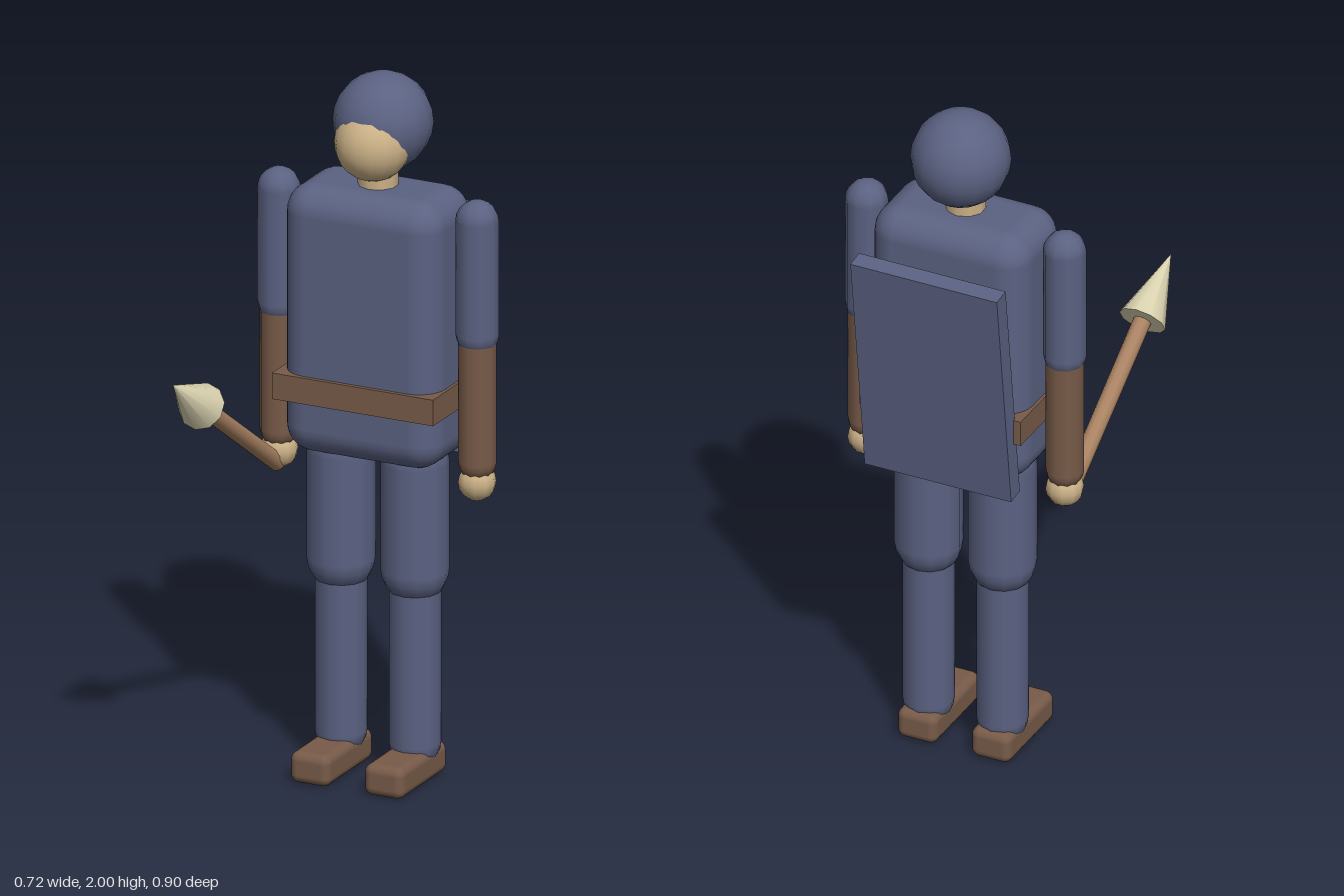
import * as THREE from 'three';
import { RoundedBoxGeometry } from 'three/addons/geometries/RoundedBoxGeometry.js';

const paint = (name, color) => {
  const m = new THREE.MeshStandardMaterial({ color });
  m.name = name;
  return m;
};

export function createModel() {
  const cloth = paint('blue cloth', 0x5b6282);
  const leather = paint('brown leather', 0x785b49);
  const skin = paint('skin', 0xcbb187);
  const wood = paint('wood', 0xa98262);
  const bone = paint('pale spearhead', 0xdad3b0);

  const model = new THREE.Group();
  const Z = -0.193; // depth of the body's centre line

  const add = (name, geometry, material, x, y, z, parent = model) => {
    const mesh = new THREE.Mesh(geometry, material);
    mesh.name = name;
    mesh.position.set(x, y, z);
    parent.add(mesh);
    return mesh;
  };
  // upright capsule given its lowest and highest points
  const limb = (name, r, low, high, sides, material, x, parent) => {
    const g = new THREE.CapsuleGeometry(r, high - low - 2 * r, 5, sides).rotateY(Math.PI / 2);
    return add(name, g, material, x, (low + high) / 2, Z, parent);
  };

  // trunk
  add('torso', new RoundedBoxGeometry(0.47, 0.77, 0.285, 4, 0.08), cloth, 0, 1.305, Z);
  add('belt', new THREE.BoxGeometry(0.488, 0.075, 0.31), leather, 0, 1.117, Z);

  // head
  add('neck', new THREE.CylinderGeometry(0.056, 0.056, 0.12, 10), skin, 0, 1.71, Z);
  add('face', new THREE.SphereGeometry(0.106, 16, 12), skin, 0, 1.817, -0.162);
  add('hood', new THREE.SphereGeometry(0.138, 16, 12), cloth, 0, 1.862, -0.223);

  // arms and legs, mirrored
  for (const side of [1, -1]) {
    const label = side > 0 ? 'left' : 'right';
    const arm = new THREE.Group();
    arm.name = label + 'Arm';
    limb('upperArm', 0.06, 1.245, 1.69, 10, cloth, side * 0.3, arm);
    limb('forearm', 0.053, 0.885, 1.33, 10, leather, side * 0.3, arm);
    add('hand', new THREE.SphereGeometry(0.053, 10, 8), skin, side * 0.3, 0.88, Z, arm);

    const leg = new THREE.Group();
    leg.name = label + 'Leg';
    const x = side * 0.112;
    limb('thigh', 0.094, 0.505, 1.0, 12, cloth, x, leg);
    limb('shin', 0.071, 0.03, 0.62, 12, cloth, x, leg);
    add('foot', new RoundedBoxGeometry(0.12, 0.09, 0.285, 3, 0.025), leather, x, 0.045, -0.134, leg);
    model.add(arm, leg);
  }

  // slanted slab carried on the back
  const slab = add('backPanel', new THREE.BoxGeometry(0.444, 0.687, 0.053), cloth, 0, 1.246, -0.378);
  slab.rotation.x = -0.126;

  // spear in the right hand, built along +y and tipped forward
  const spear = new THREE.Group();
  spear.name = 'spear';
  add('shaft', new THREE.CylinderGeometry(0.025, 0.025, 0.56, 10), wood, 0, 0.28, 0, spear);
  add('spearhead', new THREE.ConeGeometry(0.067, 0.21, 10), bone, 0, 0.655, 0, spear);
  spear.position.set(-0.3, 0.843, -0.18);
  spear.rotation.x = THREE.MathUtils.degToRad(90 - 34);
  model.add(spear);

  return model;
}
